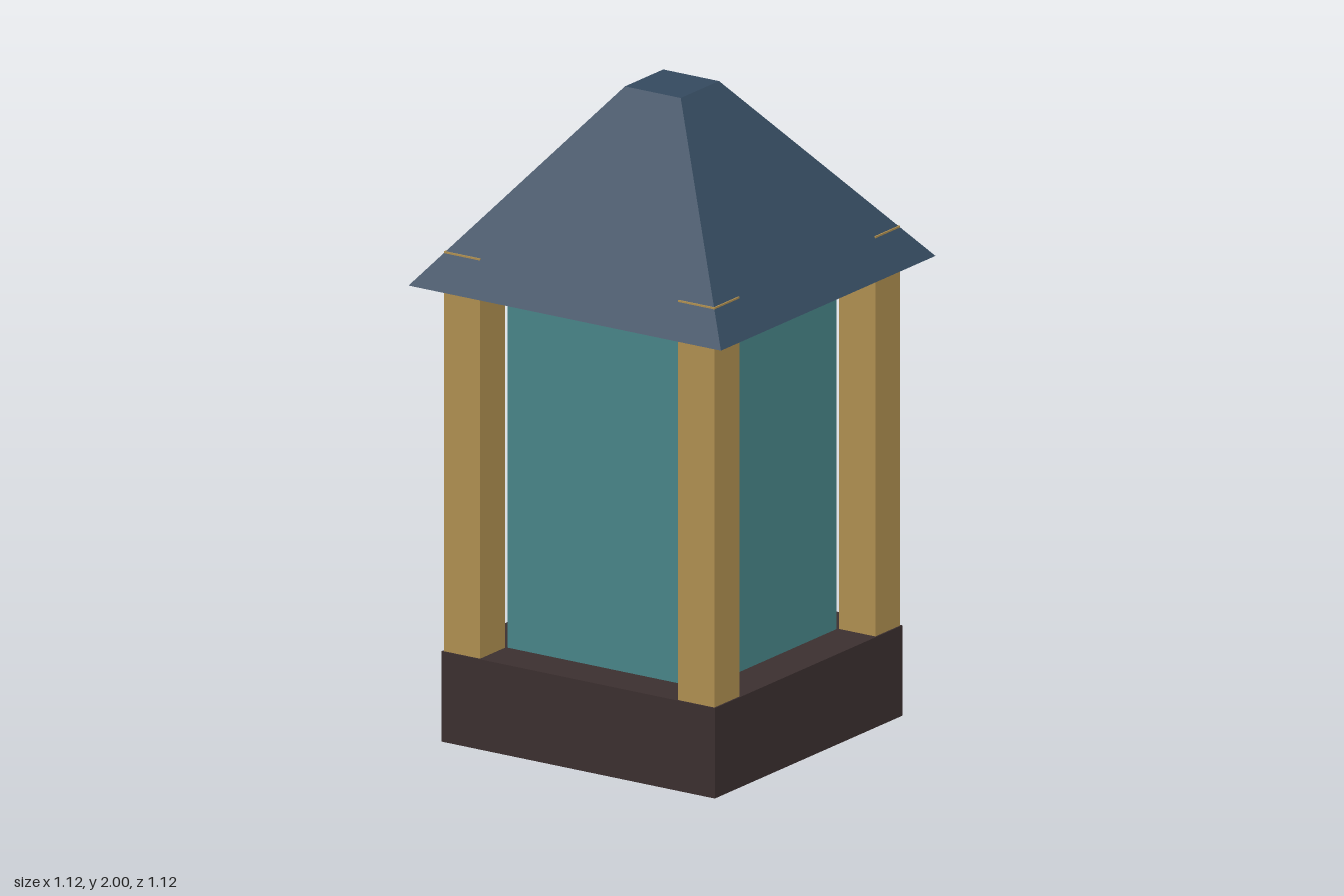
import * as THREE from 'three';

export function createModel() {
  const model = new THREE.Group();
  model.name = 'lantern';

  const material = (name, color) => {
    const m = new THREE.MeshStandardMaterial({ color });
    m.name = name;
    return m;
  };
  const darkStone = material('dark brown', 0x3b2f2f);
  const brass = material('brass', 0xae8e50);
  const glass = material('teal glass', 0x488487);
  const slate = material('slate blue', 0x34495e);
  slate.flatShading = true;

  const add = (name, geometry, mat, x, y, z) => {
    const mesh = new THREE.Mesh(geometry, mat);
    mesh.name = name;
    mesh.position.set(x, y, z);
    model.add(mesh);
  };

  // Square plinth
  add('base', new THREE.BoxGeometry(0.98, 0.28, 0.98), darkStone, 0, 0.14, 0);

  // Glass body, set just inside the posts
  add('glassBody', new THREE.BoxGeometry(0.7, 1.14, 0.7), glass, 0, 0.85, 0);

  // Corner posts, whose top corners just break through the roof
  const postGeometry = new THREE.BoxGeometry(0.13, 1.24, 0.13);
  for (const [sx, side] of [[1, 'Left'], [-1, 'Right']]) {
    for (const [sz, end] of [[1, 'front'], [-1, 'back']]) {
      add(`${end}${side}Post`, postGeometry, brass, sx * 0.42, 0.9, sz * 0.42);
    }
  }

  // Truncated pyramid roof
  const roof = new THREE.CylinderGeometry(0.1 * Math.SQRT2, 0.56 * Math.SQRT2, 0.58, 4);
  roof.rotateY(Math.PI / 4);
  add('roof', roof, slate, 0, 1.71, 0);

  return model;
}
